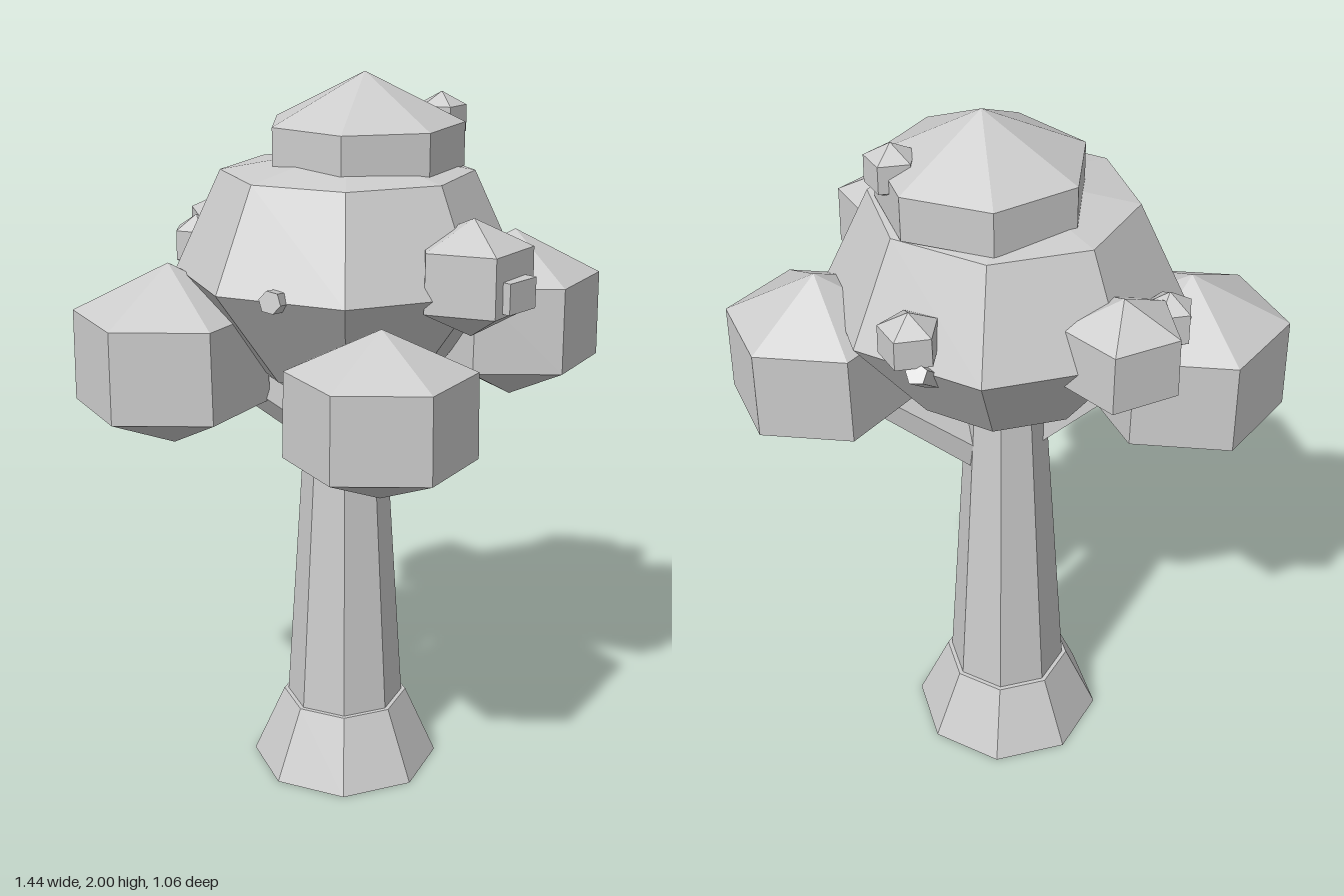
import * as THREE from 'three';

const bark = new THREE.MeshStandardMaterial({ color: 0xcccccc, flatShading: true });
bark.name = 'light grey';

export function createModel() {
  const tree = new THREE.Group();
  tree.name = 'tree';

  const add = (name, geometry, x = 0, y = 0, z = 0) => {
    const mesh = new THREE.Mesh(geometry, bark);
    mesh.name = name;
    mesh.position.set(x, y, z);
    tree.add(mesh);
    return mesh;
  };

  // Faceted solid of revolution from [radius, y] pairs, first corner on +x
  const turned = (name, profile, sides, x, z, turn = 0) =>
    add(name, new THREE.LatheGeometry(
      profile.map(([r, y]) => new THREE.Vector2(r, y)), sides, Math.PI / 2 + turn), x, 0, z);

  // Leaf clump: a prism with a pointed cap above and below
  const clump = (name, x, z, r, ys, sides, turn = 0) =>
    turned(name, [[0, ys[0]], [r * 1.02, ys[1]], [r, ys[2]], [0, ys[3]]], sides, x, z, turn);

  // Straight branch between two points
  const branch = (name, from, to, r0, r1, sides) => {
    const a = new THREE.Vector3(...from), b = new THREE.Vector3(...to);
    const dir = b.clone().sub(a);
    const mid = a.clone().add(b).multiplyScalar(0.5);
    const mesh = add(name, new THREE.CylinderGeometry(r1, r0, dir.length(), sides), mid.x, mid.y, mid.z);
    mesh.quaternion.setFromUnitVectors(new THREE.Vector3(0, 1, 0), dir.normalize());
    return mesh;
  };

  // Trunk with flared foot
  turned('trunkFoot', [[0, 0], [0.27, 0], [0.18, 0.205], [0, 0.205]], 8, 0.02, -0.07);
  turned('trunk', [[0.168, 0.2], [0.1, 1.25], [0, 1.25]], 8, 0.02, -0.07);

  // Main crown and cap
  turned('crown', [[0, 1.14], [0.255, 1.215], [0.462, 1.485], [0.337, 1.75], [0, 1.81]],
    8, 0.025, -0.07).scale.z = 0.96;
  turned('crownCap', [[0, 1.66], [0.265, 1.755], [0.265, 1.87], [0, 2]], 7, 0.07, -0.11);

  // Large clumps on branches
  clump('leftClump', 0.485, -0.185, 0.236, [1.095, 1.215, 1.45, 1.57], 6);
  clump('rightClump', -0.45, 0.005, 0.26, [1.01, 1.135, 1.385, 1.515], 6);
  clump('frontClump', 0.115, 0.325, 0.245, [0.975, 1.085, 1.315, 1.425], 6).scale.z = 0.93;
  branch('leftBranch', [0.06, 0.97, -0.09], [0.45, 1.26, -0.17], 0.06, 0.045, 5);
  branch('rightBranch', [0, 1.0, -0.06], [-0.4, 1.3, 0], 0.055, 0.045, 5);
  branch('frontBranch', [0.03, 1.0, -0.04], [0.11, 1.22, 0.3], 0.055, 0.045, 5);

  // Medium clumps on the crown
  clump('frontLeftClump', 0.345, 0.19, 0.152, [1.37, 1.45, 1.605, 1.675], 5);
  clump('backRightClump', -0.29, -0.35, 0.148, [1.35, 1.43, 1.585, 1.655], 5, 0.25);

  // Small clumps
  clump('backClump', 0.2, -0.455, 0.075, [1.5, 1.535, 1.61, 1.65], 5);
  clump('sideClump', -0.395, -0.22, 0.065, [1.44, 1.48, 1.56, 1.6], 5);
  clump('capClump', 0.275, -0.185, 0.066, [1.8, 1.835, 1.905, 1.94], 5);

  // Twigs poking out of the crown
  branch('backTwig', [0.16, 1.43, -0.4], [0.175, 1.525, -0.52], 0.028, 0.028, 5);
  branch('sideTwig', [-0.32, 1.43, -0.18], [-0.43, 1.55, -0.24], 0.028, 0.028, 5);
  branch('capTwig', [0.23, 1.72, -0.13], [0.285, 1.87, -0.14], 0.028, 0.022, 5);
  branch('frontTwig', [-0.11, 1.47, 0.2], [-0.16, 1.495, 0.34], 0.03, 0.03, 6);

  // Square stub on the front left clump
  const stub = add('stub', new THREE.BoxGeometry(0.105, 0.08, 0.12), 0.42, 1.5, 0.245);
  stub.rotation.y = 0.83;

  return tree;
}
